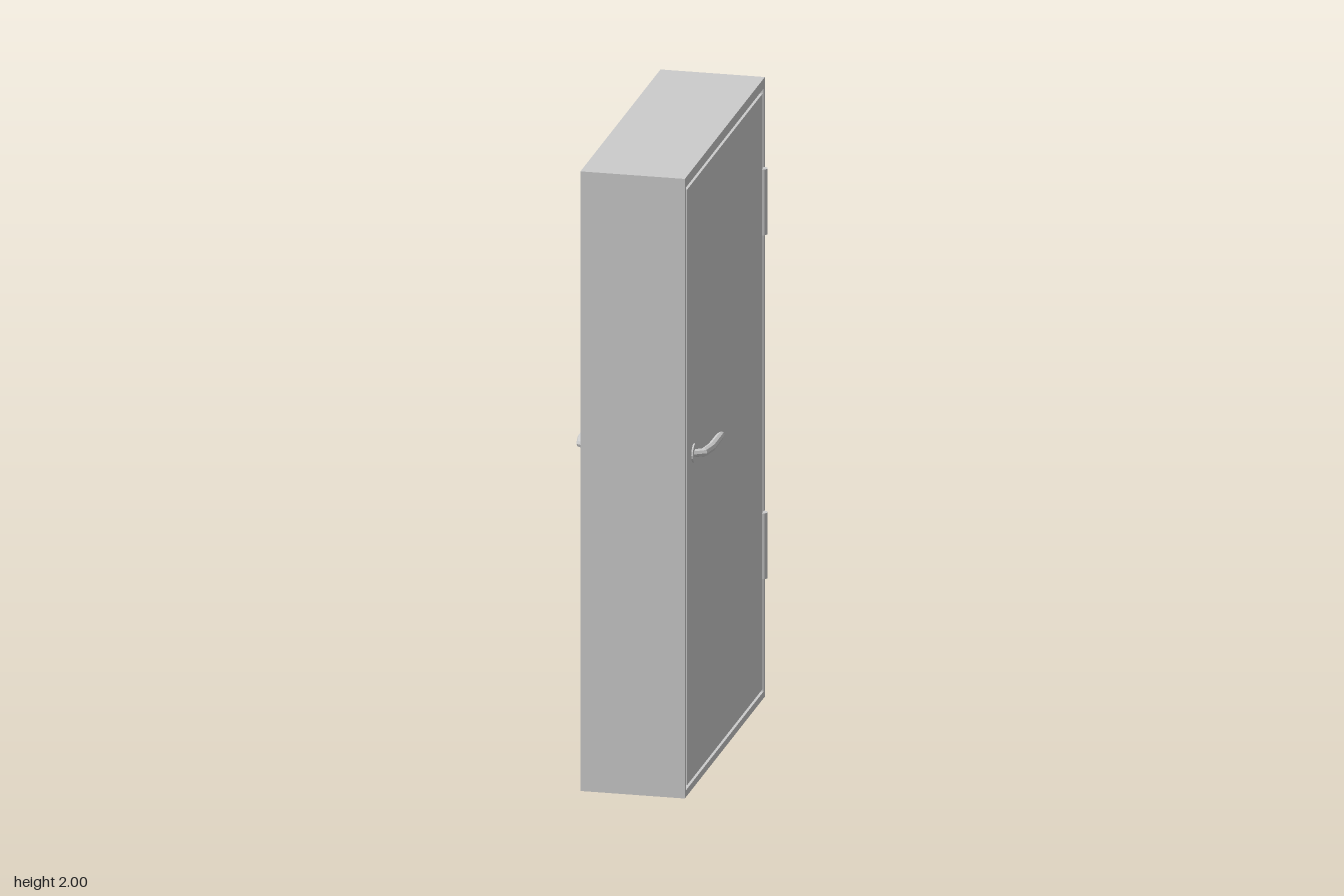
import * as THREE from 'three';

const HALF = 0.165;   // half the wall depth (x)
const WIDE = 0.53;    // half the width (z)
const material = new THREE.MeshStandardMaterial({ color: 0xcccccc, flatShading: true });

function add(parent, name, geometry, x = 0, y = 0, z = 0) {
  const mesh = new THREE.Mesh(geometry, material);
  mesh.name = name;
  mesh.position.set(x, y, z);
  parent.add(mesh);
  return mesh;
}

function rectangle(Type, halfWidth, bottom, top) {
  return new Type([
    new THREE.Vector2(-halfWidth, bottom), new THREE.Vector2(halfWidth, bottom),
    new THREE.Vector2(halfWidth, top), new THREE.Vector2(-halfWidth, top),
  ]);
}

// Eight-sided lever bent along a path in the xz plane, with mitred corners
function leverGeometry(side) {
  // x, z and radius from the tip back to the rosette
  const stations = [
    [0.205, 0.21, 0.009], [0.205, 0.235, 0.0125], [0.205, 0.345, 0.0135],
    [0.195, 0.4, 0.0135], [0.16, 0.422, 0.0125],
  ];
  const last = stations.length - 1;
  const points = stations.map(([x, z]) => new THREE.Vector3(side * x, 0, z));
  const up = new THREE.Vector3(0, 1, 0);
  const direction = (i) => points[i].clone().sub(points[i + 1]).normalize();
  const geometry = new THREE.CylinderGeometry(1, 1, 1, 8, last);
  const position = geometry.attributes.position;
  const p = new THREE.Vector3();
  for (let v = 0; v < position.count; v++) {
    p.fromBufferAttribute(position, v);
    const i = Math.round((0.5 - p.y) * last);
    const before = direction(Math.max(i - 1, 0));
    const tangent = before.clone().add(direction(Math.min(i, last - 1))).normalize();
    const across = tangent.clone().cross(up);
    const r = stations[i][2];
    const moved = points[i].clone()
      .addScaledVector(across, p.x * r / tangent.dot(before))
      .addScaledVector(up, p.z * r);
    position.setXYZ(v, moved.x, moved.y, moved.z);
  }
  geometry.computeVertexNormals();
  return geometry;
}

export function createModel() {
  const model = new THREE.Group();
  model.name = 'door';

  // Deep outer frame, extruded across the wall
  const outline = rectangle(THREE.Shape, WIDE, 0, 2);
  outline.holes.push(rectangle(THREE.Path, 0.512, 0.022, 1.968));
  const frame = new THREE.ExtrudeGeometry(outline, { depth: HALF * 2, bevelEnabled: false });
  frame.translate(0, 0, -HALF).rotateY(Math.PI / 2);
  add(model, 'frame', frame);

  // Door leaf and the core that closes the groove around it
  add(model, 'doorLeaf', new THREE.BoxGeometry(HALF * 2, 1.922, 1.0), 0, 0.995, 0);
  add(model, 'grooveCore', new THREE.BoxGeometry(HALF * 2 - 0.04, 1.95, 1.026), 0, 0.995, 0);

  // Matching hardware on both faces
  for (const side of [1, -1]) {
    const handle = new THREE.Group();
    handle.name = side > 0 ? 'leftHandle' : 'rightHandle';
    handle.position.y = 1.08;
    model.add(handle);
    const rosette = new THREE.CylinderGeometry(0.03, 0.03, 0.01, 16).rotateZ(Math.PI / 2);
    add(handle, 'rosette', rosette, side * 0.165, 0, 0.415);
    add(handle, 'lever', leverGeometry(side));

    for (const y of [0.4975, 1.6075]) {
      const hinge = new THREE.CylinderGeometry(0.015, 0.015, 0.212, 12);
      add(model, side > 0 ? 'leftHinge' : 'rightHinge', hinge, side * 0.165, y, -0.505);
    }
  }
  return model;
}
